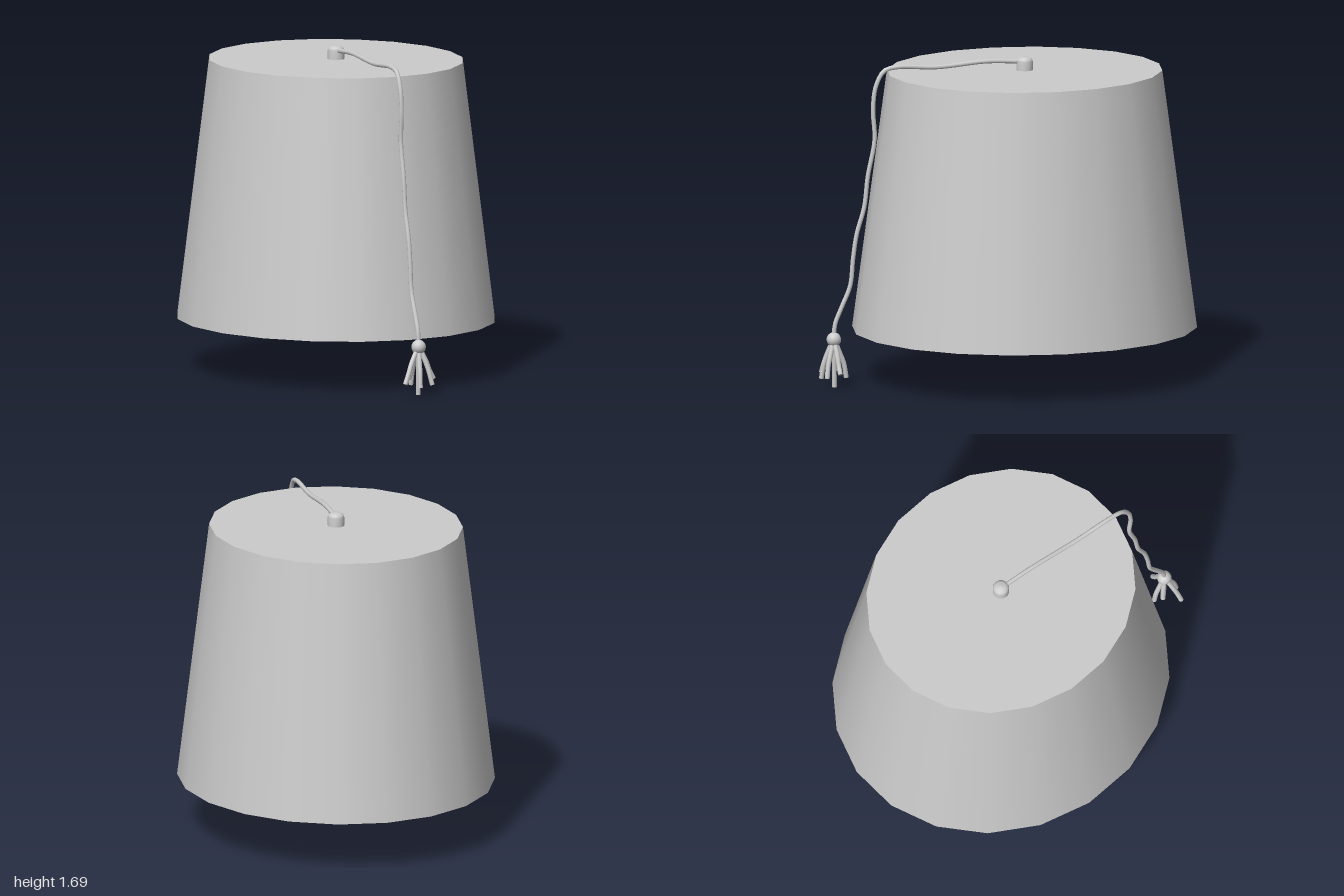
import * as THREE from 'three';

const CENTRE_Z = -0.1;

export function createModel() {
  const group = new THREE.Group();
  const material = new THREE.MeshStandardMaterial({ color: 0xcccccc });

  const add = (name, geometry, x = 0, y = 0, z = 0, parent = group) => {
    const mesh = new THREE.Mesh(geometry, material);
    mesh.name = name;
    mesh.position.set(x, y, z);
    parent.add(mesh);
    return mesh;
  };

  // Round-section cord through a few points, closed with small end caps
  const addCord = (name, points, radius, segments, parent = group) => {
    const curve = new THREE.CatmullRomCurve3(points.map(p => new THREE.Vector3(...p)));
    add(name, new THREE.TubeGeometry(curve, segments, radius, 8), 0, 0, 0, parent);
    for (const t of [0, 1]) {
      const cap = add(name + 'Cap', new THREE.CircleGeometry(radius, 8), 0, 0, 0, parent);
      const outward = curve.getTangentAt(t).multiplyScalar(t ? 1 : -1);
      cap.position.copy(curve.getPointAt(t));
      cap.quaternion.setFromUnitVectors(new THREE.Vector3(0, 0, 1), outward);
    }
  };

  // Tapered oval hat body, closed at both ends
  const body = new THREE.CylinderGeometry(0.65, 0.814, 1.35, 20);
  body.scale(1, 1, 0.9 / 0.814);
  body.computeBoundingBox();
  add('hatBody', body, 0, 0.955, CENTRE_Z);

  // Button on the crown with a rounded top
  const buttonProfile = [[0.043, 0], [0.043, 0.046], [0.038, 0.058], [0.025, 0.067], [0, 0.07]];
  add('crownButton', new THREE.LatheGeometry(buttonProfile.map(p => new THREE.Vector2(...p)), 16),
    0, 1.63, CENTRE_Z);

  // Cord over the crown and hanging down the front, as [z, y]
  const cordPath = [
    [-0.09, 1.675], [0.1, 1.685], [0.37, 1.667], [0.58, 1.677], [0.65, 1.66], [0.695, 1.58],
    [0.71, 1.46], [0.702, 1.3], [0.738, 1.11], [0.757, 0.95], [0.797, 0.81], [0.817, 0.68],
    [0.832, 0.54], [0.877, 0.43], [0.913, 0.34], [0.92, 0.26],
  ];
  addCord('cord', cordPath.map(([z, y]) => [0, y, z]), 0.012, 80);

  // Tassel: knot and splayed strands
  const tassel = new THREE.Group();
  tassel.name = 'tassel';
  group.add(tassel);
  add('tasselKnot', new THREE.SphereGeometry(0.038, 16, 12), 0, 0.26, 0.92, tassel);

  const strandEnds = [
    [-0.095, 0.075, 0.962], [-0.018, 0.055, 0.982], [0.055, 0.065, 0.97],
    [0.09, 0.09, 0.908], [-0.012, 0.055, 0.85], [0, 0.01, 0.917], [-0.04, 0.09, 0.885],
  ];
  for (const [x, y, z] of strandEnds) {
    const dz = z - 0.92;
    addCord('tasselStrand', [
      [x * 0.1, 0.25, 0.92 + dz * 0.1],
      [x * 0.55, 0.175, 0.92 + dz * 0.55],
      [x * 0.75, 0.13, 0.92 + dz * 0.8],
      [x, y, z],
    ], 0.013, 10, tassel);
  }

  return group;
}
